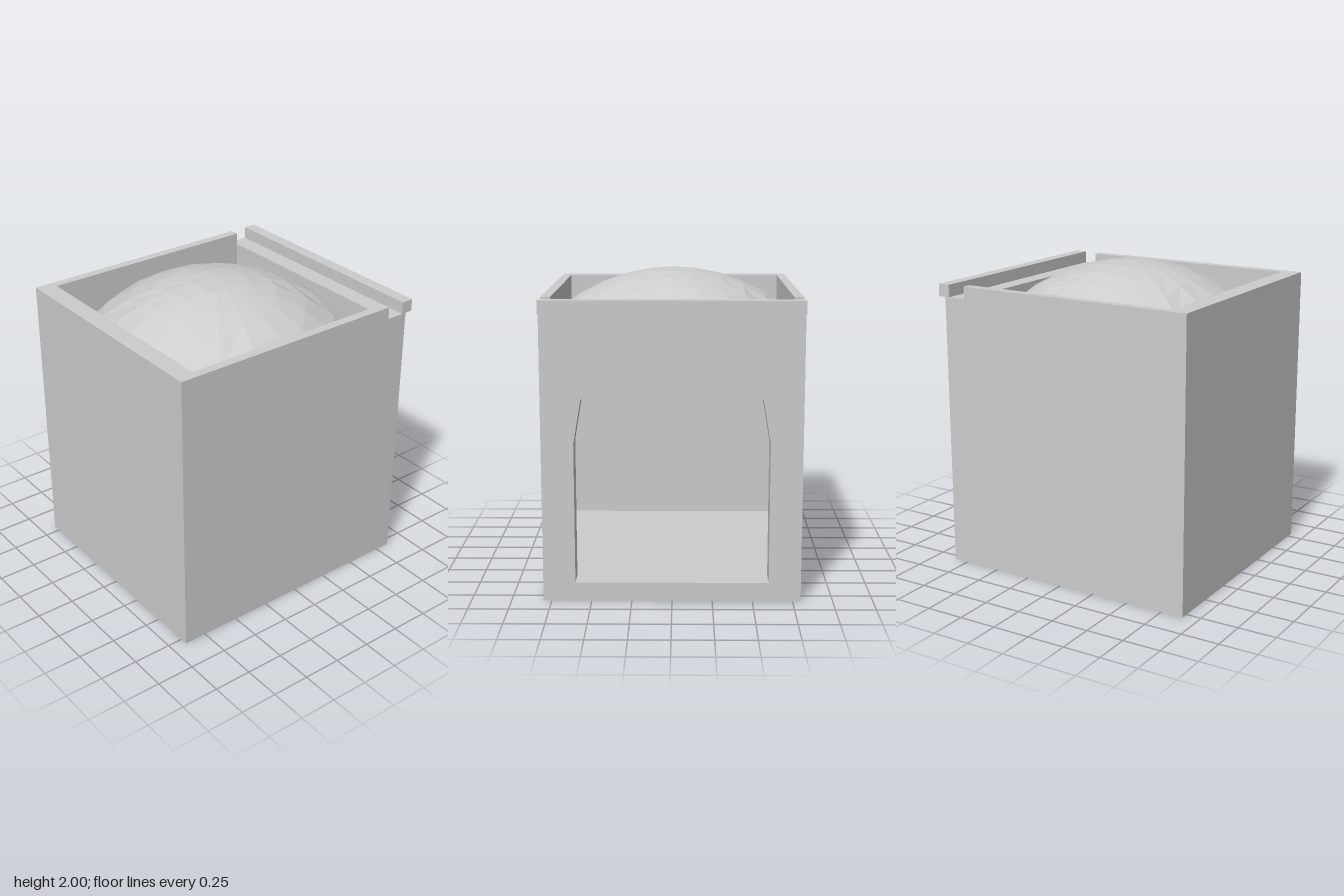
import * as THREE from 'three';

export function createModel() {
  const model = new THREE.Group();
  const stone = new THREE.MeshStandardMaterial({ color: 0xcccccc, flatShading: true, side: THREE.DoubleSide });
  stone.name = 'pale grey stone';

  const add = (name, geometry) => {
    const mesh = new THREE.Mesh(geometry, stone);
    mesh.name = name;
    model.add(mesh);
    return mesh;
  };
  // Box given by its minimum and maximum corners
  const block = (name, x0, x1, y0, y1, z0, z1) =>
    add(name, new THREE.BoxGeometry(x1 - x0, y1 - y0, z1 - z0))
      .position.set((x0 + x1) / 2, (y0 + y1) / 2, (z0 + z1) / 2);

  // Floor, front wall and side walls
  block('floor', -0.74, 0.74, 0, 0.12, -0.7, 0.78);
  block('frontWall', -0.74, 0.74, 0, 1.88, 0.78, 0.9);
  block('leftWall', 0.74, 0.8, 0, 1.88, -0.7, 0.9);
  block('rightWall', -0.8, -0.74, 0, 1.88, -0.7, 0.9);

  // Back wall with an arched doorway
  const wall = new THREE.Shape();
  wall.moveTo(-0.8, 0).lineTo(0.8, 0).lineTo(0.8, 1.8).lineTo(-0.8, 1.8).closePath();
  const door = new THREE.Path();
  door.moveTo(-0.6, 0.12);
  const archSteps = 8;
  for (let i = 0; i <= archSteps; i++) {
    const a = Math.PI * (1 - i / archSteps);
    door.lineTo(0.6 * Math.cos(a), 1 + 0.7 * Math.sin(a));
  }
  door.lineTo(0.6, 0.12).closePath();
  wall.holes.push(door);
  add('backWall', new THREE.ExtrudeGeometry(wall, { depth: 0.15, bevelEnabled: false })).position.z = -0.85;

  // Raised lip overhanging the back wall
  block('backLip', -0.8, 0.8, 1.8, 1.88, -0.9, -0.82);

  // Shallow dome: square rings with cut corners lying on a sphere
  const rings = [0, 0.16, 0.31, 0.46, 0.61, 0.76];
  const spokes = 20;
  const radius = 1.19;
  const positions = [];
  const indices = [];
  rings.forEach((size) => {
    for (let i = 0; i < spokes; i++) {
      const a = (i / spokes) * Math.PI * 2;
      const c = Math.cos(a), s = Math.sin(a);
      const d = size / Math.max(Math.abs(c), Math.abs(s));
      positions.push(d * c, 2 - radius + Math.sqrt(radius * radius - d * d), 0.04 + d * s);
    }
  });
  for (let r = 0; r < rings.length - 1; r++) {
    for (let i = 0; i < spokes; i++) {
      const j = (i + 1) % spokes;
      const a = r * spokes + i, b = r * spokes + j;
      const c = a + spokes, d = b + spokes;
      if (r > 0) indices.push(a, b, d);
      indices.push(a, d, c);
    }
  }
  const dome = new THREE.BufferGeometry();
  dome.setAttribute('position', new THREE.Float32BufferAttribute(positions, 3));
  dome.setIndex(indices);
  dome.computeVertexNormals();
  add('dome', dome);

  return model;
}
